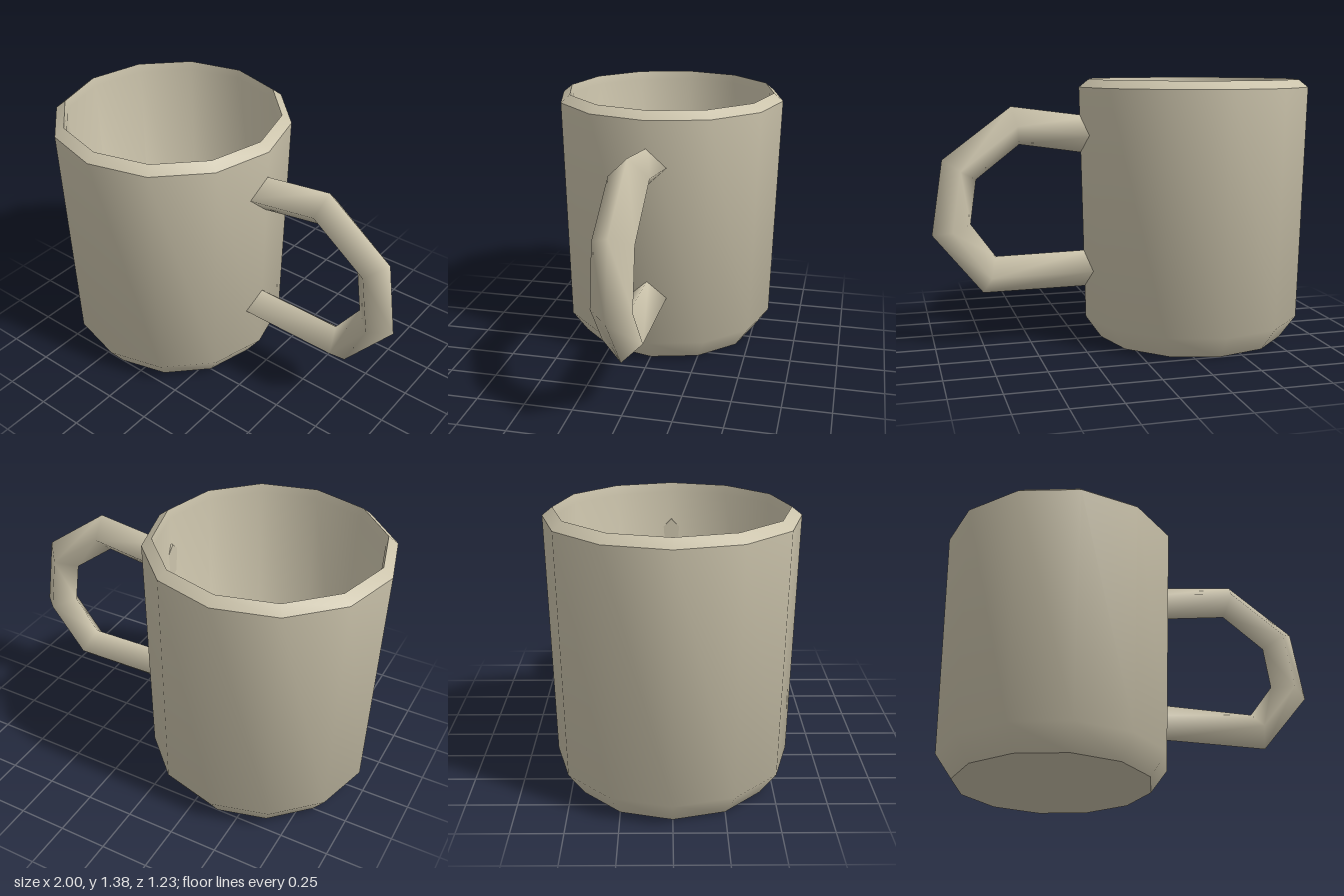
import * as THREE from 'three';
import { toCreasedNormals } from 'three/addons/utils/BufferGeometryUtils.js';

const CUP_X = -0.385;

// Closed wall profile: underside, outer wall, bevelled rim, inner wall, floor
function cupGeometry() {
  const profile = [
    [0, 0], [0.5, 0], [0.585, 0.12], [0.615, 1.345], [0.565, 1.385],
    [0.555, 1.34], [0.53, 0.16], [0.46, 0.09], [0, 0.06],
  ].map(([r, y]) => new THREE.Vector2(r, y));
  return toCreasedNormals(new THREE.LatheGeometry(profile, 12), 0.82);
}

// Diamond-section bar, mitred at each bend: [outer x, outer y, inner x, inner y]
function handleGeometry() {
  const bends = [
    [0.155, 1.193, 0.155, 0.997],
    [0.585, 1.25, 0.545, 1.055],
    [0.94, 0.985, 0.77, 0.88],
    [1.0, 0.6, 0.803, 0.65],
    [0.745, 0.285, 0.677, 0.475],
    [0.16, 0.29, 0.16, 0.485],
  ];
  const halfWidth = 0.1;
  const positions = [];
  const index = [];
  for (const [ox, oy, ix, iy] of bends) {
    const mx = (ox + ix) / 2, my = (oy + iy) / 2;
    positions.push(ox, oy, 0, mx, my, halfWidth, ix, iy, 0, mx, my, -halfWidth);
  }
  for (let i = 0; i < bends.length - 1; i++) {
    for (let j = 0; j < 4; j++) {
      const a = i * 4 + j, b = i * 4 + (j + 1) % 4;
      index.push(a, b, a + 4, b, b + 4, a + 4);
    }
  }
  // End caps inside the cup wall, on their own vertices so the bar stays smooth
  const n = bends.length * 4;
  positions.push(...positions.slice(0, 12), ...positions.slice(-12));
  index.push(n, n + 2, n + 1, n, n + 3, n + 2);
  index.push(n + 4, n + 5, n + 6, n + 4, n + 6, n + 7);

  const geometry = new THREE.BufferGeometry();
  geometry.setAttribute('position', new THREE.Float32BufferAttribute(positions, 3));
  geometry.setIndex(index);
  geometry.computeVertexNormals();
  return geometry;
}

export function createModel() {
  const group = new THREE.Group();
  group.name = 'mug';
  const ceramic = new THREE.MeshStandardMaterial({ color: 0xcbc3ab });

  const cup = new THREE.Mesh(cupGeometry(), ceramic);
  cup.name = 'cup';
  cup.position.x = CUP_X;

  const handle = new THREE.Mesh(handleGeometry(), ceramic);
  handle.name = 'handle';

  group.add(cup, handle);
  return group;
}
